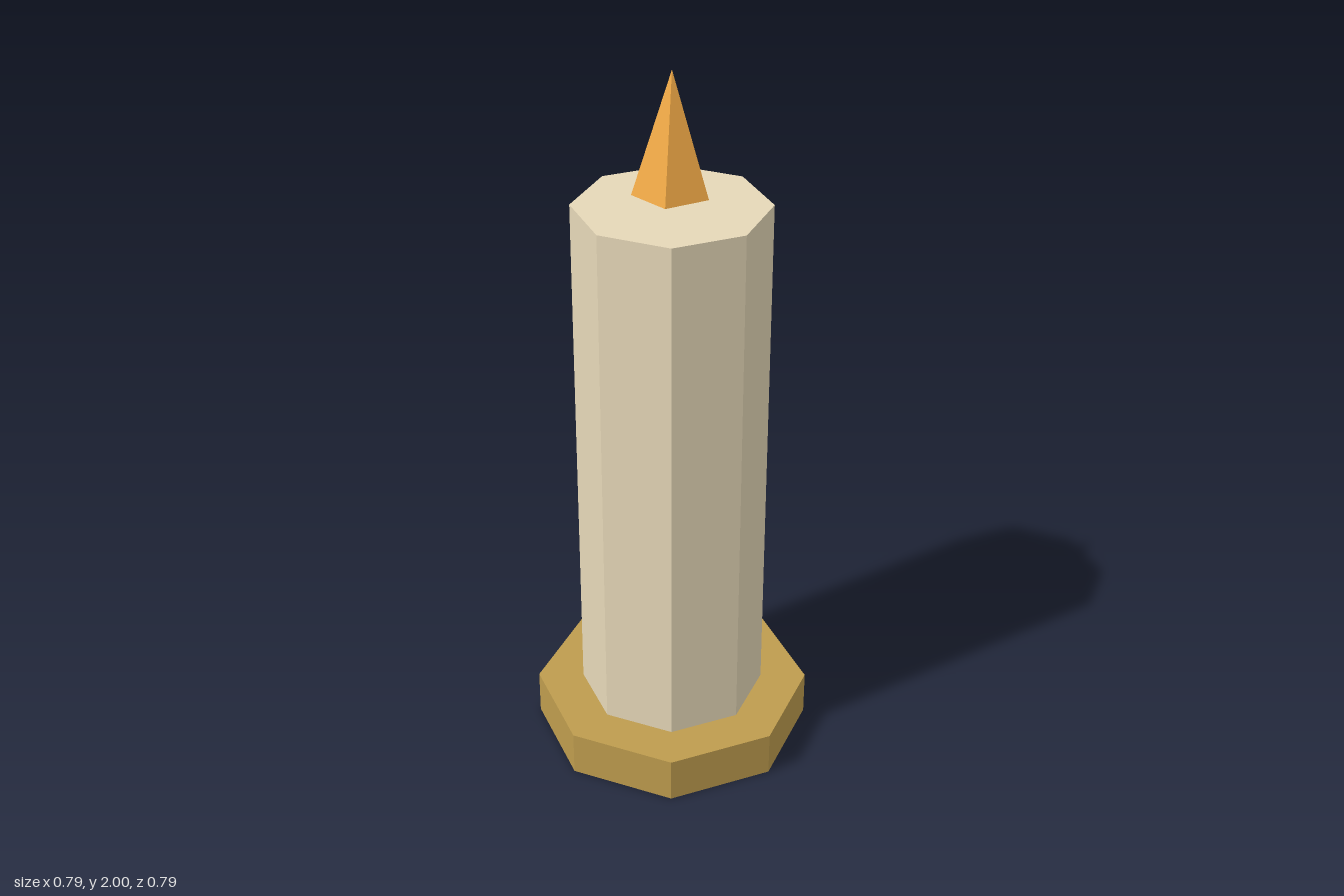
import * as THREE from 'three';

export function createModel() {
  const model = new THREE.Group();

  // Adds a flat-shaded solid of revolution whose bottom sits at the given height
  function addPart(name, color, topRadius, bottomRadius, bottom, top, sides) {
    const height = top - bottom;
    const mesh = new THREE.Mesh(
      new THREE.CylinderGeometry(topRadius, bottomRadius, height, sides),
      new THREE.MeshStandardMaterial({ color, flatShading: true })
    );
    mesh.name = name;
    mesh.position.y = bottom + height / 2;
    model.add(mesh);
    return mesh;
  }

  // Octagonal brass holder and wax column
  addPart('holder', 0xbe9c4e, 0.393, 0.393, 0, 0.131, 8);
  addPart('waxColumn', 0xe6d8b8, 0.262, 0.262, 0.131, 1.64, 8);

  // Five-sided flame floating above the wax, one corner pointing back
  const flame = addPart('flame', 0xf2aa46, 0, 0.105, 1.674, 2, 5);
  flame.rotation.y = Math.PI;

  return model;
}
